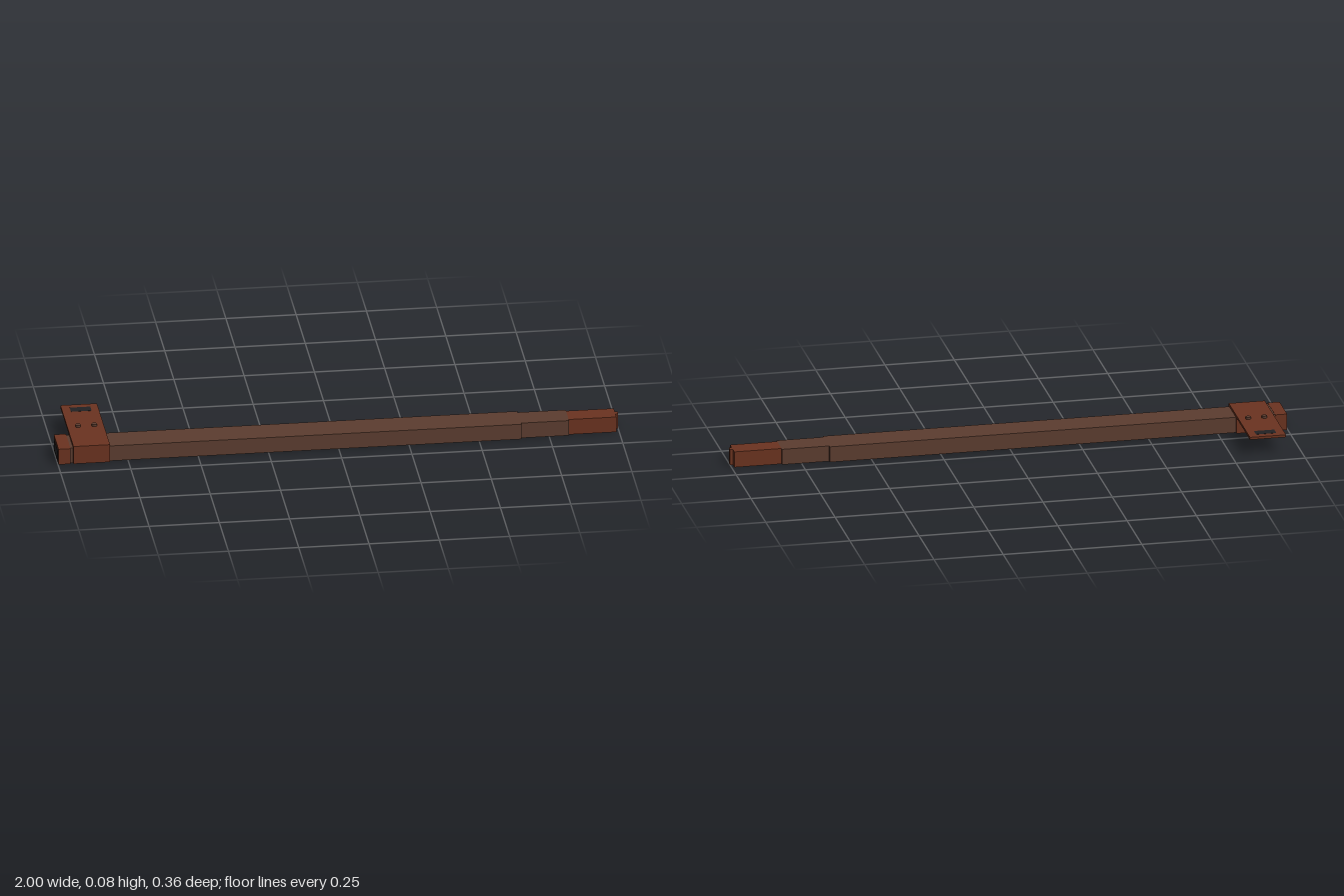
import * as THREE from 'three';

const material = (name, color) => {
  const m = new THREE.MeshStandardMaterial({ color });
  m.name = name;
  return m;
};

export function createModel() {
  const model = new THREE.Group();
  model.name = 'telescopicBar';
  const red = material('redBrown', 0x6b3320);
  const brown = material('dullBrown', 0x5c3d30);
  const dark = material('darkInsert', 0x222224);

  // Box given by its limits on each axis
  const box = (name, mat, [x0, x1], [y0, y1], [z0, z1]) => {
    const mesh = new THREE.Mesh(new THREE.BoxGeometry(x1 - x0, y1 - y0, z1 - z0), mat);
    mesh.name = name;
    mesh.position.set((x0 + x1) / 2, (y0 + y1) / 2, (z0 + z1) / 2);
    model.add(mesh);
  };

  const H = 0.058, mid = 0.1145;
  const span = (half) => [mid - half, mid + half];

  // Telescoping bar, widest section first
  box('mainBar', brown, [-0.96, 0.65], [0.0005, H], span(0.057));
  box('middleSection', brown, [0.65, 0.82], [0.0005, H], span(0.047));
  box('endSection', red, [0.82, 0.99], [0, H], span(0.0375));
  box('tipTongue', red, [0.99, 1], [0, H], span(0.01));

  // End block with its dark face panel
  box('endBlock', red, [-0.998, -0.955], [0, H + 0.001], span(0.0645));
  box('endPanel', dark, [-1, -0.997], [0.01, 0.048], span(0.052));

  // Collar around the bar
  box('collar', red, [-0.945, -0.815], [0, H], span(0.0655));

  // Mounting plate with a rectangular slot
  const [px0, px1, pz0, pz1] = [-0.945, -0.815, -0.18, 0.18];
  const slot = { x: [-0.915, -0.842], z: [-0.155, -0.12] };
  const outline = (path, x0, x1, z0, z1) =>
    path.moveTo(x0, -z0).lineTo(x1, -z0).lineTo(x1, -z1).lineTo(x0, -z1).closePath();
  const shape = new THREE.Shape();
  outline(shape, px0, px1, pz0, pz1);
  const hole = new THREE.Path();
  outline(hole, ...slot.x, ...slot.z);
  shape.holes.push(hole);
  const plate = new THREE.Mesh(
    new THREE.ExtrudeGeometry(shape, { depth: 0.009, bevelEnabled: false }), red);
  plate.name = 'mountingPlate';
  plate.rotation.x = -Math.PI / 2;
  plate.position.y = H;
  model.add(plate);
  box('slotInsert', dark, slot.x, [H, H + 0.0095], slot.z);

  // Two screw heads on the plate
  for (const x of [-0.907, -0.849]) {
    const screw = new THREE.Mesh(new THREE.CylinderGeometry(0.0095, 0.0095, 0.008, 12), brown);
    screw.name = 'screwHead';
    screw.position.set(x, 0.071, 0.01);
    model.add(screw);
  }

  return model;
}
